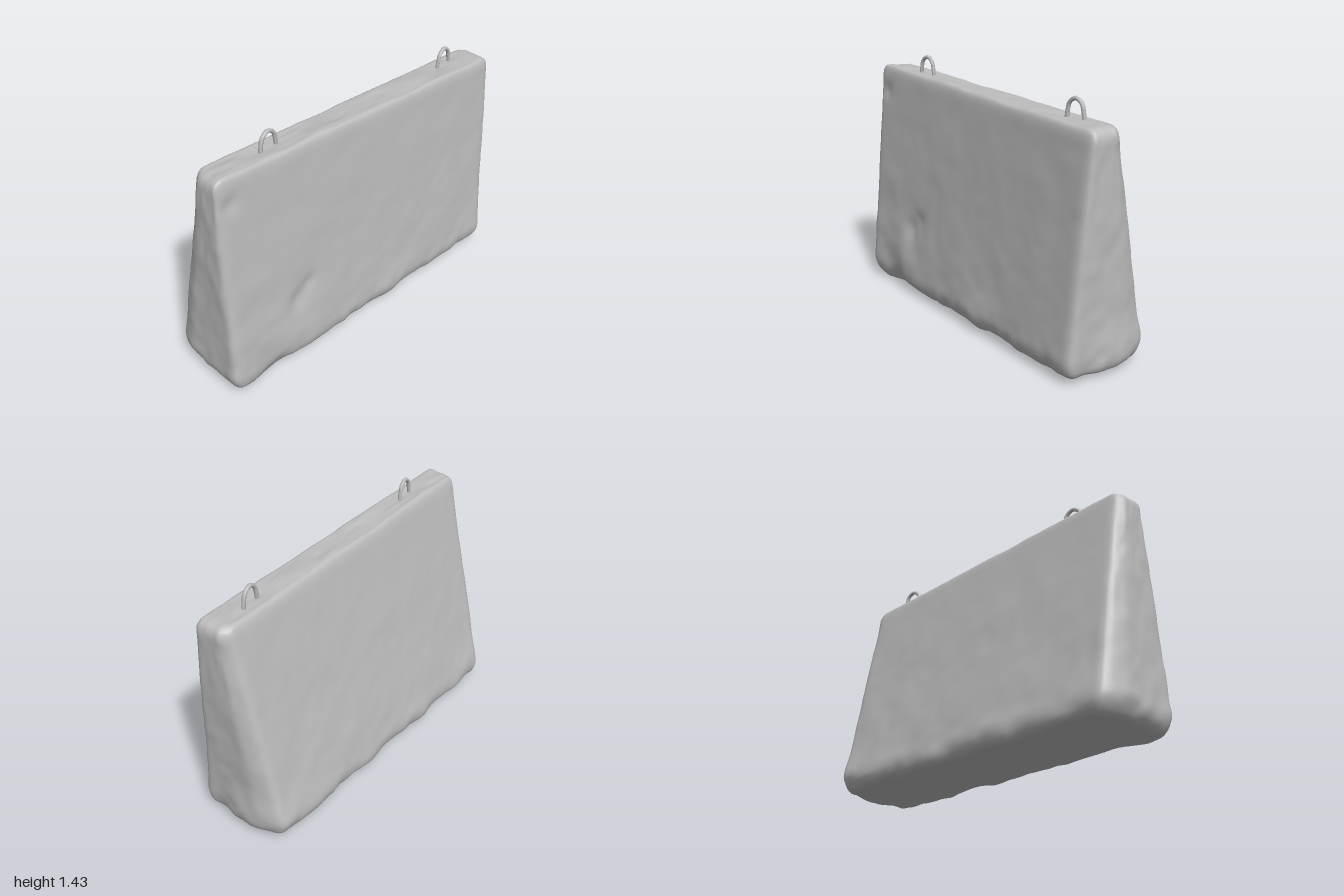
import * as THREE from 'three';
import { mergeVertices } from 'three/addons/utils/BufferGeometryUtils.js';

const concrete = new THREE.MeshStandardMaterial({ color: 0xbcbcbc });
concrete.name = 'concreteGrey';

const { lerp, clamp, smoothstep } = THREE.MathUtils;

// Smooth value noise in the range -1..1, repeatable
function hash(x, y, z) {
  const s = Math.sin(x * 127.1 + y * 311.7 + z * 74.7) * 43758.5453;
  return (s - Math.floor(s)) * 2 - 1;
}
function noise(x, y, z) {
  const i = [x, y, z].map(Math.floor);
  const f = [x - i[0], y - i[1], z - i[2]].map((t) => t * t * (3 - 2 * t));
  let sum = 0;
  for (let c = 0; c < 8; c++) {
    const o = [c & 1, (c >> 1) & 1, c >> 2];
    const w = o.reduce((p, b, k) => p * (b ? f[k] : 1 - f[k]), 1);
    sum += w * hash(i[0] + o[0], i[1] + o[1], i[2] + o[2]);
  }
  return sum;
}

// Dent strength around a point on the front face
const dent = (x, y, cx, cy, r) => Math.exp(-((x - cx) ** 2 + (y - cy) ** 2) / (r * r));

// Rounded, tapered slab with a sloping top and worn edges
function blockGeometry() {
  const half = new THREE.Vector3(1, 0.65, 0.28);
  const radius = 0.055;
  const inner = half.clone().subScalar(radius);
  let g = new THREE.BoxGeometry(2, 1.3, 0.56, 72, 48, 20);
  g.deleteAttribute('uv');
  g.deleteAttribute('normal');
  g = mergeVertices(g, 1e-4);
  const pos = g.attributes.position;
  const p = new THREE.Vector3();
  const q = new THREE.Vector3();
  for (let i = 0; i < pos.count; i++) {
    p.fromBufferAttribute(pos, i);
    q.copy(p).clamp(inner.clone().negate(), inner);
    const n = p.clone().sub(q).normalize();
    p.copy(q).addScaledVector(n, radius);

    // Broad unevenness, rougher toward the base
    const low = 1 - smoothstep(p.y, -0.65, -0.4);
    const rough = 0.006 + 0.011 * low;
    p.addScaledVector(n, rough * noise(p.x * 6 + 3, p.y * 6, p.z * 6)
      + rough * 0.4 * noise(p.x * 15, p.y * 15 + 7, p.z * 15));

    const t = (p.y + 0.65) / 1.3;
    const u = (p.x + 1) / 2;
    const w = (p.z + 0.28) / 0.56;

    // Taper to a narrow top, with the back leaning more than the front
    const y = t * (1.285 - 0.038 * p.x) + 0.01;
    let z = lerp(-0.28 + 0.209 * y, 0.275 - 0.078 * y, w);
    let x = lerp(-1 + 0.05 * t, 0.975 + 0.022 * t, u);
    x *= 1 - 0.035 * (1 - smoothstep(w, 0, 0.3)) * smoothstep(Math.abs(x), 0.8, 1);

    // Worn lower edges and chips
    const chip = clamp(0.5 + 0.7 * noise(x * 4 + 5, 0.5, Math.sign(z) * 3.5), 0, 1);
    z -= Math.sign(z) * 0.05 * chip * (1 - smoothstep(y, 0, 0.12)) * smoothstep(Math.abs(z), 0.1, 0.25);
    x -= Math.sign(x) * 0.03 * (x < 0 ? 1 : 0.3) * (1 - smoothstep(y, 0, 0.12)) * smoothstep(Math.abs(x), 0.8, 1);
    if (n.z > 0.5) {
      z -= 0.02 * dent(x, y, -0.53, 0.4, 0.06) + 0.014 * dent(x, y, -0.45, 0.47, 0.05)
        + 0.014 * dent(x, y, -0.88, 1.18, 0.045) + 0.02 * dent(x, y, -0.75, 0.08, 0.14);
      z += 0.01 * dent(x, y, -0.6, 0.2, 0.1);
    }
    pos.setXYZ(i, x, y, z);
  }
  g.computeVertexNormals();
  return g;
}

// Bent steel bar standing in the top face
function liftingLoop(name, x, y, z) {
  const points = [[-0.06, -0.05], [-0.052, 0.03], [-0.038, 0.078], [0, 0.1],
    [0.038, 0.078], [0.052, 0.03], [0.06, -0.05]];
  const curve = new THREE.CatmullRomCurve3(points.map(([a, b]) => new THREE.Vector3(a, b, 0)));
  const loop = new THREE.Mesh(new THREE.TubeGeometry(curve, 28, 0.011, 8), concrete);
  loop.name = name;
  loop.position.set(x, y, z);
  loop.rotation.y = 0.14;
  return loop;
}

export function createModel() {
  const model = new THREE.Group();
  model.name = 'concreteBarrier';

  const block = new THREE.Mesh(blockGeometry(), concrete);
  block.name = 'block';
  model.add(block);

  model.add(liftingLoop('rightLiftingLoop', -0.56, 1.312, 0.087));
  model.add(liftingLoop('leftLiftingLoop', 0.735, 1.262, 0.06));
  return model;
}
